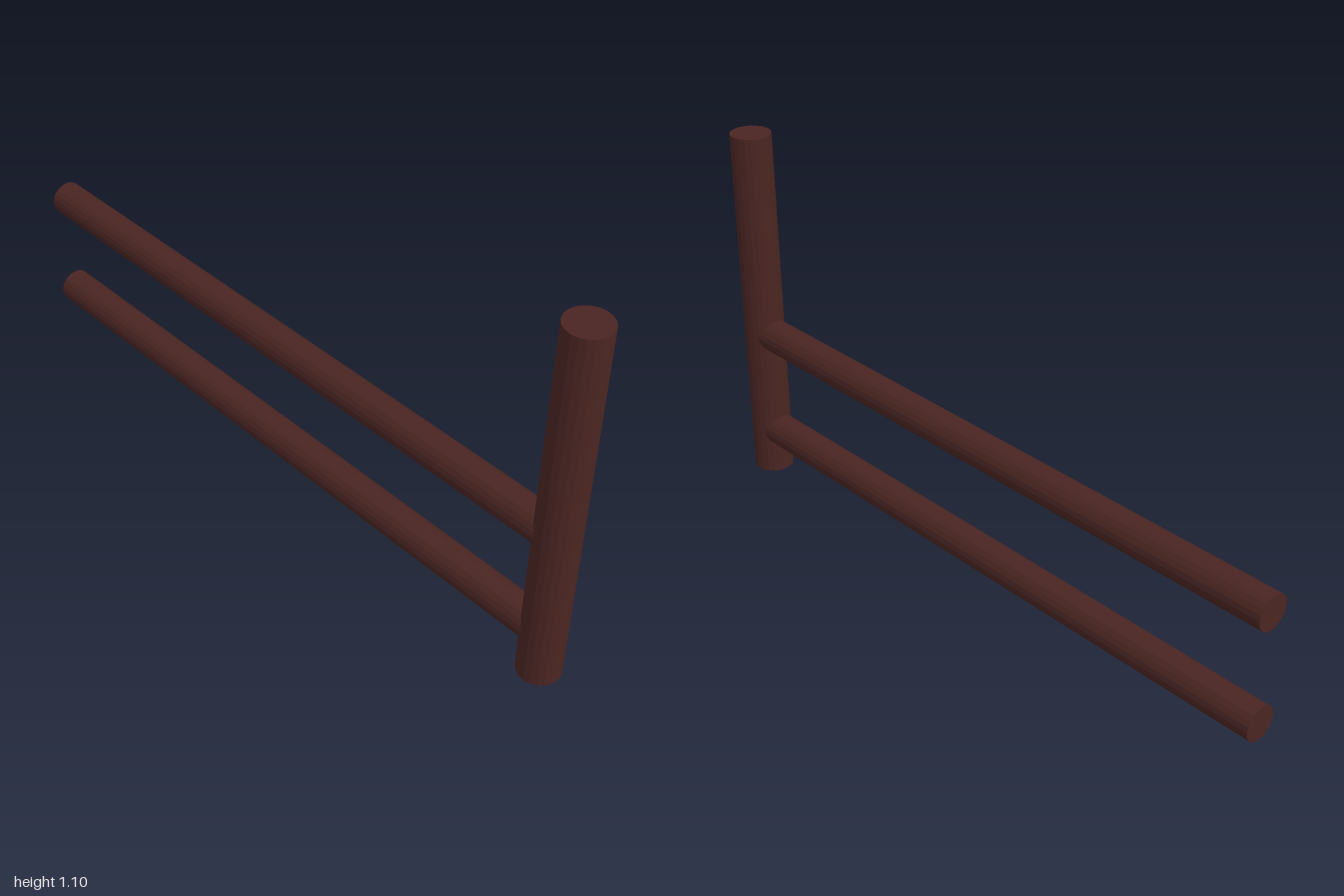
import * as THREE from 'three';

export function createModel() {
  const model = new THREE.Group();
  model.name = 'fenceSection';
  const wood = new THREE.MeshStandardMaterial({ color: 0x4a2522, flatShading: true });

  function pole(name, radius, length) {
    const mesh = new THREE.Mesh(new THREE.CylinderGeometry(radius, radius, length, 20), wood);
    mesh.name = name;
    model.add(mesh);
    return mesh;
  }

  // upright post at the front end
  pole('post', 0.06, 1.1).position.set(0, 0.55, 0.94);

  // two horizontal rails, their front ends sunk into the post
  const rails = { lowerRail: 0.14, upperRail: 0.47 };
  for (const [name, y] of Object.entries(rails)) {
    const rail = pole(name, 0.05, 1.94);
    rail.rotation.x = Math.PI / 2;
    rail.position.set(0, y, -0.03);
  }

  return model;
}
